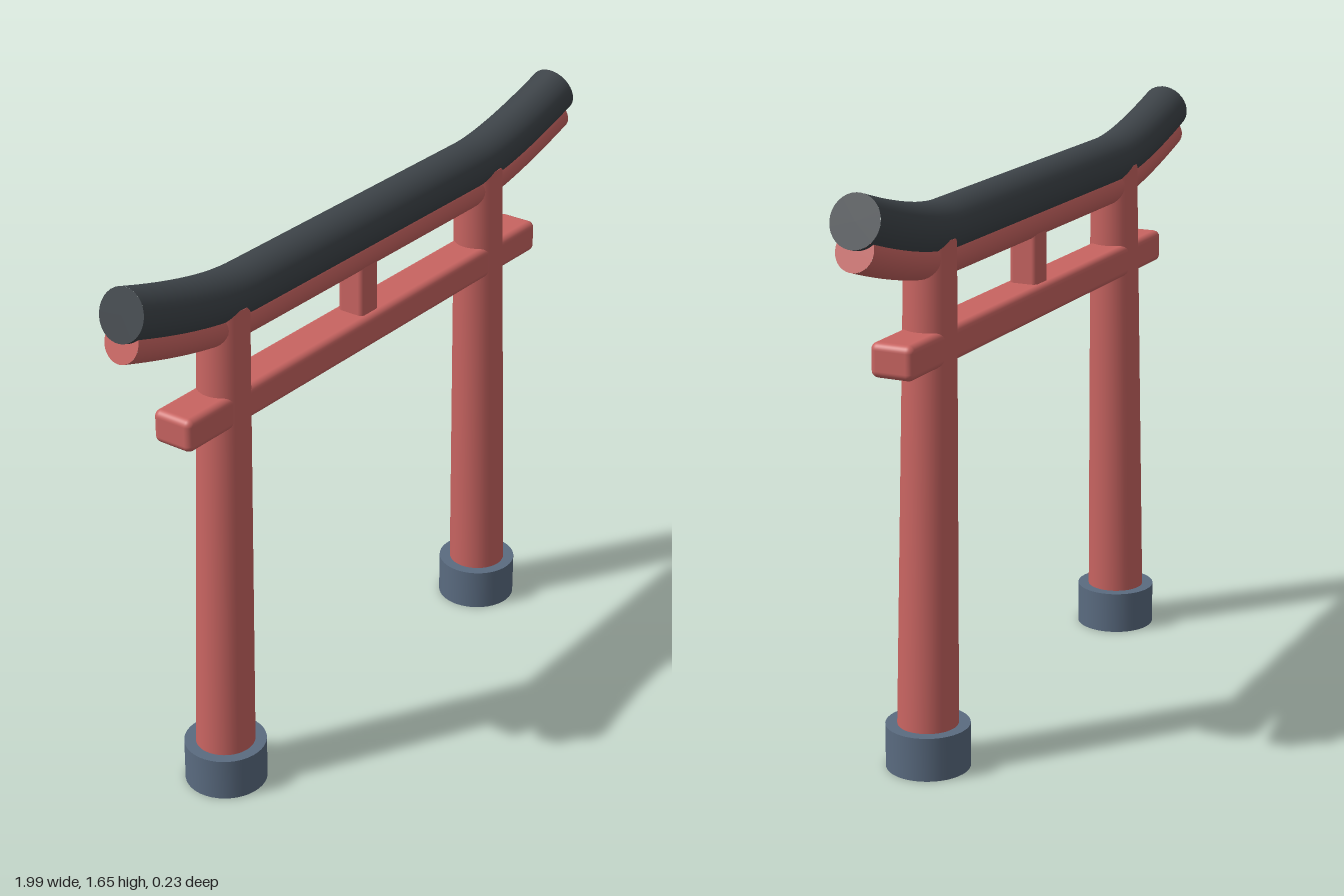
import * as THREE from 'three';
import { RoundedBoxGeometry } from 'three/addons/geometries/RoundedBoxGeometry.js';

export function createModel() {
  const group = new THREE.Group();
  const material = (name, color) => {
    const m = new THREE.MeshStandardMaterial({ color });
    m.name = name;
    return m;
  };
  const red = material('red paint', 0xc86461);
  const charcoal = material('charcoal roof', 0x3d4348);
  const slate = material('slate stone', 0x5a6b80);

  const add = (name, geometry, mat, x = 0, y = 0, z = 0, parent = group) => {
    const mesh = new THREE.Mesh(geometry, mat);
    mesh.name = name;
    mesh.position.set(x, y, z);
    parent.add(mesh);
    return mesh;
  };

  // Round beam, straight in the middle, sweeping up at both ends, with flat end caps
  const sweptBeam = (name, midY, endX, endY, radius, mat) => {
    const beam = new THREE.Group();
    beam.name = name;
    const v = (x, y) => new THREE.Vector3(x, y, 0);
    const bendX = 0.51, controlX = endX - (endY - midY) / 0.32;
    const path = new THREE.CurvePath();
    path.add(new THREE.QuadraticBezierCurve3(v(-endX, endY), v(-controlX, midY), v(-bendX, midY)));
    path.add(new THREE.LineCurve3(v(-bendX, midY), v(bendX, midY)));
    path.add(new THREE.QuadraticBezierCurve3(v(bendX, midY), v(controlX, midY), v(endX, endY)));
    add(name + 'Body', new THREE.TubeGeometry(path, 64, radius, 32), mat, 0, 0, 0, beam);
    for (const side of [-1, 1]) {
      const cap = add(name + 'End', new THREE.CircleGeometry(radius, 32), mat, side * endX, endY, 0, beam);
      const outward = path.getTangent(side > 0 ? 1 : 0).multiplyScalar(side);
      cap.quaternion.setFromUnitVectors(new THREE.Vector3(0, 0, 1), outward);
    }
    group.add(beam);
  };
  sweptBeam('roofBeam', 1.488, 0.973, 1.583, 0.072, charcoal);
  sweptBeam('upperBeam', 1.41, 0.978, 1.509, 0.055, red);

  // Lower crossbar and the short strut above it
  add('crossbar', new RoundedBoxGeometry(1.615, 0.095, 0.126, 4, 0.02), red, 0, 1.183, 0);
  add('centerStrut', new RoundedBoxGeometry(0.08, 0.24, 0.085, 4, 0.015), red, 0, 1.31, 0);

  // Tapered pillars leaning inward, each on a round stone foot
  for (const side of [-1, 1]) {
    const name = side > 0 ? 'left' : 'right';
    add(name + 'Foot', new THREE.CylinderGeometry(0.117, 0.117, 0.125, 40), slate, side * 0.627, 0.0625, 0);
    const bottom = new THREE.Vector3(side * 0.628, 0.08, 0);
    const top = new THREE.Vector3(side * 0.584, 1.47, 0);
    const axis = top.clone().sub(bottom);
    const pillar = add(name + 'Pillar', new THREE.CylinderGeometry(0.07, 0.085, axis.length(), 40), red);
    pillar.position.addVectors(top, bottom).multiplyScalar(0.5);
    pillar.quaternion.setFromUnitVectors(new THREE.Vector3(0, 1, 0), axis.normalize());
  }
  return group;
}
